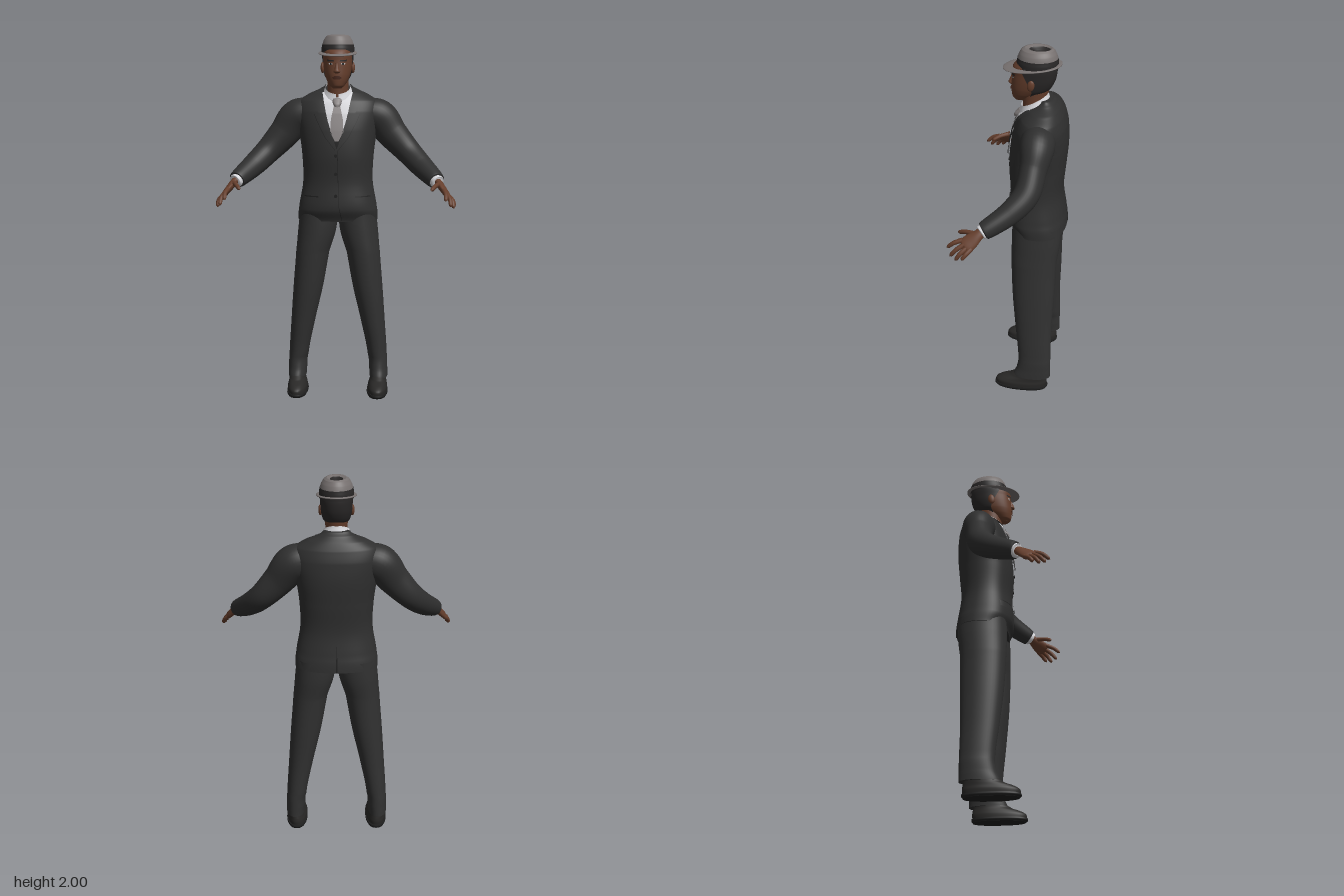
import * as THREE from 'three';
import { ParametricGeometry } from 'three/addons/geometries/ParametricGeometry.js';
import { mergeGeometries } from 'three/addons/utils/BufferGeometryUtils.js';

const mat = (name, color, side = THREE.FrontSide) => {
  const m = new THREE.MeshStandardMaterial({ color, side });
  m.name = name;
  return m;
};

// Rows are [y, centreX, halfWidth, frontZ, backZ, squareness]; y runs straight, the rest is smoothed.
function rowAt(rows, f) {
  const i = Math.max(0, Math.min(Math.floor(f), rows.length - 2)), t = f - i;
  const [a, b, c, d] = [i - 1, i, i + 1, i + 2].map(k => rows[Math.max(0, Math.min(rows.length - 1, k))]);
  return b.map((_, k) => k === 0 ? b[0] + (c[0] - b[0]) * t
    : b[k] + 0.5 * t * (c[k] - a[k] + t * (2 * a[k] - 5 * b[k] + 4 * c[k] - d[k] + t * (3 * (b[k] - c[k]) + d[k] - a[k]))));
}
function rowAtY(rows, y) {
  let i = 0;
  while (i < rows.length - 2 && rows[i + 1][0] < y) i++;
  return rowAt(rows, i + THREE.MathUtils.clamp((y - rows[i][0]) / (rows[i + 1][0] - rows[i][0]), 0, 1));
}

// Stack of horizontal rounded sections; arc(v) gives the angle left open at the front.
function loft(sections, { nu = 40, step = 5, bottom = false, top = false, arc = () => 0 } = {}) {
  const rows = sections.map(([y, x, r, zf, zb, p = 2.2]) => [y, x, r, zf, zb, p]);
  const skin = (list, n) => new ParametricGeometry((u, v, out) => {
    const [y, cx, rx, zf, zb, p] = rowAt(list, v * (list.length - 1));
    const open = arc(v), a = open + u * (2 * Math.PI - 2 * open);
    const s = Math.sin(a), c = Math.cos(a), e = 2 / p;
    out.set(cx + Math.max(rx, 0.001) * Math.sign(s) * Math.abs(s) ** e, y,
      (zf + zb) / 2 + (zf - zb) / 2 * Math.sign(c) * Math.abs(c) ** e);
  }, nu, n);
  const point = ([y, x, , zf, zb, p]) => [y, x, 0.001, (zf + zb) / 2 + 0.001, (zf + zb) / 2 - 0.001, p];
  const first = rows[0], last = rows[rows.length - 1];
  const parts = [skin(rows, (rows.length - 1) * step)];
  if (bottom) parts.push(skin([point(first), first], 1));
  if (top) parts.push(skin([last, point(last)], 1));
  return mergeGeometries(parts);
}

// Thin plate following a lofted body; shape rows are [y, x0, x1] from bottom to top.
function plate(body, shape, off = 0.006, dir = 1, nu = 10) {
  return new ParametricGeometry((u, v, out) => {
    const f = v * (shape.length - 1), i = Math.min(Math.floor(f), shape.length - 2);
    const [y, x0, x1] = shape[i].map((n, k) => THREE.MathUtils.lerp(n, shape[i + 1][k], f - i));
    const [, cx, rx, zf, zb, p] = rowAtY(body, y), x = x0 + (x1 - x0) * u;
    const k = Math.max(0, 1 - Math.abs((x - cx) / rx) ** p) ** (1 / p);
    out.set(x, y, (zf + zb) / 2 + dir * ((zf - zb) / 2 * k + off));
  }, nu, (shape.length - 1) * 6);
}

// Limb along points [x, y, z, radiusA, radiusB]; radiusA lies along ref x direction.
function limb(pts, ref = [0, 0, 1], nu = 24, nv = 24) {
  const curve = new THREE.CatmullRomCurve3(pts.map(p => new THREE.Vector3(p[0], p[1], p[2])));
  const r = new THREE.Vector3(...ref), rad = pts.map(p => [0, p[3], p[4] ?? p[3]]);
  return new ParametricGeometry((u, v, out) => {
    const t = curve.getTangent(v), b = r.clone().cross(t).normalize(), n = t.clone().cross(b);
    const [, ra, rb] = rowAt(rad, v * (pts.length - 1)), a = u * 2 * Math.PI;
    out.copy(curve.getPoint(v)).addScaledVector(b, Math.cos(a) * Math.max(ra, 0.001))
      .addScaledVector(n, Math.sin(a) * Math.max(rb, 0.001));
  }, nu, nv);
}

function mirrored(geo) {
  const g = mergeGeometries([geo]).scale(-1, 1, 1), idx = g.index.array;
  for (let i = 0; i < idx.length; i += 3) [idx[i], idx[i + 1]] = [idx[i + 1], idx[i]];
  return g;
}

export function createModel() {
  const model = new THREE.Group();
  model.name = 'suitedMan';
  const D = THREE.DoubleSide;
  const suit = mat('charcoal suit', 0x2f2f2f, D), trouser = mat('charcoal trousers', 0x313131);
  const black = mat('near black', 0x1f1f1f, D), shoe = mat('shoe leather', 0x292827);
  const shirt = mat('white shirt', 0xd6d6da, D), tie = mat('grey tie', 0x8a8585, D);
  const skin = mat('brown skin', 0x653e2c), lip = mat('dark skin', 0x45271d, D);
  const hair = mat('black hair', 0x292727, D), felt = mat('grey felt', 0x777170);
  const add = (name, geo, m) => {
    const mesh = new THREE.Mesh(geo, m);
    mesh.name = name;
    model.add(mesh);
  };
  const pair = (name, geo, m) => { add(name + 'Left', geo, m); add(name + 'Right', mirrored(geo), m); };

  // Jacket body
  const torso = [
    [0.985, 0, 0.222, 0.015, -0.275, 2.4], [1.05, 0, 0.217, 0.04, -0.268, 2.4],
    [1.2, 0, 0.193, 0.032, -0.25, 2.3], [1.35, 0, 0.198, 0.04, -0.262, 2.3],
    [1.48, 0, 0.215, 0.03, -0.272, 2.3], [1.58, 0, 0.23, 0.008, -0.266, 2.3],
    [1.64, 0, 0.22, -0.018, -0.25, 2.2], [1.68, 0, 0.16, -0.055, -0.23, 2.2],
    [1.71, 0, 0.095, -0.1, -0.205, 2.1], [1.73, 0, 0.07, -0.12, -0.185, 2]];
  add('jacket', loft(torso, { nu: 64, bottom: true, top: true }), suit);

  // Shirt front, tie, lapels and front edge
  add('shirtFront', plate(torso, [[1.4, -0.004, 0.004], [1.5, -0.042, 0.042], [1.6, -0.068, 0.068], [1.69, -0.085, 0.085]], 0.006, 1, 20), shirt);
  add('waistcoatTip', plate(torso, [[1.39, -0.004, 0.004], [1.43, -0.018, 0.018], [1.46, -0.03, 0.03]], 0.009), black);
  add('tie', plate(torso, [[1.43, -0.01, 0.01], [1.48, -0.036, 0.036], [1.55, -0.032, 0.032], [1.618, -0.017, 0.017]], 0.012), tie);
  add('tieKnot', loft([[1.612, 0, 0.016, 0.018, -0.04], [1.63, 0, 0.024, 0.015, -0.05], [1.655, 0, 0.027, -0.005, -0.06], [1.665, 0, 0.02, -0.02, -0.06]], { nu: 20, bottom: true, top: true }), tie);
  pair('lapel', plate(torso, [[1.38, -0.002, 0.006], [1.45, 0.022, 0.062], [1.54, 0.05, 0.108], [1.575, 0.058, 0.122], [1.577, 0.059, 0.1], [1.63, 0.07, 0.11], [1.69, 0.083, 0.108]], 0.012), suit);
  pair('lapelEdge', plate(torso, [[1.38, 0.006, 0.009], [1.45, 0.062, 0.065], [1.54, 0.108, 0.111], [1.575, 0.122, 0.125]], 0.009, 1, 2), black);
  add('frontEdge', plate(torso, [[0.99, 0.026, 0.029], [1.08, 0.008, 0.011], [1.38, 0.002, 0.005]], 0.004, 1, 2), black);
  for (const y of [1.13, 1.25, 1.35]) {
    const b = new THREE.CylinderGeometry(0.009, 0.009, 0.006, 16).rotateX(Math.PI / 2);
    add('button', b.translate(-0.006, y, rowAtY(torso, y)[3] + 0.005), black);
  }
  // Pocket flaps and back vent
  pair('pocketFlap', plate(torso, [[1.09, 0.1, 0.185], [1.122, 0.1, 0.182]], 0.008), suit);
  pair('pocketLine', plate(torso, [[1.122, 0.1, 0.182], [1.128, 0.1, 0.182]], 0.007), black);
  add('backVent', plate(torso, [[0.987, -0.004, 0.003], [1.13, -0.002, 0.002]], 0.004, -1, 2), black);

  // Sleeves, cuffs and hands
  pair('sleeve', limb([
    [0.14, 1.575, -0.13, 0.085, 0.085], [0.225, 1.55, -0.135, 0.098, 0.09], [0.3, 1.46, -0.125, 0.085, 0.072],
    [0.39, 1.362, -0.102, 0.07, 0.068], [0.46, 1.292, -0.03, 0.062, 0.06], [0.538, 1.224, 0.09, 0.046, 0.046],
    [0.54, 1.222, 0.094, 0.03, 0.03]], [0, 0, 1], 32, 48), suit);
  pair('shirtCuff', limb([[0.525, 1.236, 0.07, 0.036], [0.545, 1.216, 0.102, 0.037], [0.548, 1.214, 0.106, 0.02]]), shirt);
  pair('palm', limb([
    [0.532, 1.232, 0.085, 0.026, 0.021], [0.555, 1.208, 0.115, 0.029, 0.02], [0.575, 1.182, 0.148, 0.04, 0.018],
    [0.592, 1.16, 0.176, 0.038, 0.015], [0.597, 1.154, 0.184, 0.012, 0.006]], [-0.78, -0.62, 0]), skin);
  const fingers = {
    thumb: [[0.553, 1.214, 0.13], [0.528, 1.205, 0.185], [0.506, 1.187, 0.228]],
    indexFinger: [[0.574, 1.185, 0.19], [0.583, 1.168, 0.235], [0.582, 1.137, 0.272]],
    middleFinger: [[0.588, 1.17, 0.178], [0.606, 1.14, 0.222], [0.61, 1.105, 0.252]],
    ringFinger: [[0.593, 1.16, 0.16], [0.62, 1.128, 0.198], [0.627, 1.093, 0.222]],
    littleFinger: [[0.597, 1.152, 0.142], [0.624, 1.127, 0.17], [0.633, 1.1, 0.189]]
  };
  for (const [name, [a, b, c]] of Object.entries(fingers)) {
    const near = b.map((n, i) => n + (c[i] - n) * 0.75);
    pair(name, limb([[...a, 0.013], [...b, 0.0115], [...near, 0.0095], [...c, 0.001]], [-0.78, -0.62, 0], 12, 15), skin);
  }

  // Trousers
  pair('trouserLeg', loft([
    [0.085, 0.231, 0.051, -0.012, -0.222], [0.13, 0.229, 0.052, -0.03, -0.222], [0.2, 0.224, 0.054, -0.04, -0.222], [0.4, 0.198, 0.067, -0.02, -0.222],
    [0.6, 0.168, 0.083, 0, -0.23], [0.8, 0.142, 0.093, 0.01, -0.236], [0.92, 0.118, 0.106, 0.012, -0.252],
    [1.03, 0.108, 0.106, 0.01, -0.255]], { bottom: true }), trouser);

  // Shoes
  pair('shoe', loft([
    [0.016, 0.225, 0.055, 0.09, -0.2], [0.04, 0.226, 0.055, 0.088, -0.204], [0.058, 0.227, 0.05, 0.062, -0.203],
    [0.075, 0.229, 0.046, 0.015, -0.2], [0.11, 0.23, 0.043, -0.03, -0.2]], { top: true }), shoe);
  pair('sole', loft([[0, 0.225, 0.054, 0.085, -0.2, 2.4], [0.01, 0.225, 0.059, 0.095, -0.207, 2.4], [0.02, 0.225, 0.058, 0.094, -0.207, 2.4]],
    { bottom: true, top: true }), black);

  // Neck and shirt collar
  add('neck', loft([[1.6, 0, 0.06, -0.028, -0.15, 2], [1.7, 0, 0.057, -0.028, -0.152, 2], [1.8, 0, 0.06, -0.02, -0.17, 2]]), skin);
  const tilt = new THREE.Matrix4().makeShear(0, 0, 0, 0, 0, -0.53);
  add('shirtCollar', loft([[1.605, 0, 0.088, -0.005, -0.174, 2], [1.64, 0, 0.08, -0.012, -0.168, 2], [1.672, 0, 0.068, -0.018, -0.162, 2]],
    { arc: () => 0.1 }).applyMatrix4(tilt), shirt);

  // Head
  const head = [
    [1.712, 0, 0.022, 0.012, -0.04, 2], [1.725, 0, 0.038, 0.024, -0.07, 2], [1.75, 0, 0.055, 0.029, -0.12, 2.1],
    [1.78, 0, 0.068, 0.031, -0.165, 2.2], [1.82, 0, 0.076, 0.029, -0.188, 2.2], [1.86, 0, 0.079, 0.026, -0.198, 2.2],
    [1.9, 0, 0.08, 0.022, -0.2, 2.2], [1.94, 0, 0.07, -0.01, -0.19, 2.2]];
  add('head', loft(head, { bottom: true, top: true }), skin);
  const grown = head.slice(2).map(([y, x, r, f, b, p]) => [y, x, r + 0.005, f + 0.005, b - 0.006, p]);
  add('hair', loft(grown, { arc: v => 1.9 - 0.75 * Math.min(1, v * 1.4) }), hair);
  add('nose', loft([
    [1.793, 0, 0.011, 0.036, 0], [1.802, 0, 0.019, 0.046, 0], [1.815, 0, 0.014, 0.043, 0],
    [1.85, 0, 0.008, 0.03, 0]], { nu: 20, bottom: true, top: true }), skin);
  pair('ear', new THREE.SphereGeometry(1, 16, 12).scale(0.011, 0.03, 0.019).rotateX(-0.15).translate(0.083, 1.822, -0.08), skin);
  pair('eye', plate(head, [[1.839, 0.03, 0.036], [1.844, 0.021, 0.046], [1.849, 0.028, 0.04]], 0.002), shirt);
  pair('iris', plate(head, [[1.839, 0.029, 0.037], [1.849, 0.029, 0.037]], 0.003), black);
  pair('eyebrow', plate(head, [[1.857, 0.015, 0.05], [1.866, 0.018, 0.054]], 0.003), hair);
  add('mouth', plate(head, [[1.762, -0.016, 0.016], [1.77, -0.027, 0.027], [1.779, -0.013, 0.013]], 0.004), lip);

  // Hat: brim, band, crown and creased top
  add('hatBrim', loft([
    [1.886, 0, 0.082, 0.005, -0.2, 2], [1.891, 0, 0.103, 0.068, -0.227, 2.1], [1.897, 0, 0.103, 0.068, -0.227, 2.1], [1.9, 0, 0.082, 0.005, -0.2, 2]],
    { nu: 48, step: 3 }).applyMatrix4(new THREE.Matrix4().makeShear(0, 0, 0, 0, 0, -0.1)), felt);
  add('hatBand', loft([[1.895, 0, 0.09, 0.006, -0.212, 2], [1.925, 0, 0.09, 0.004, -0.212, 2], [1.948, 0, 0.086, -0.001, -0.209, 2]]), hair);
  add('hatCrown', loft([
    [1.942, 0, 0.086, -0.001, -0.209, 2], [1.968, 0, 0.079, -0.008, -0.202, 2], [1.99, 0, 0.066, -0.02, -0.19, 2],
    [1.999, 0, 0.052, -0.036, -0.178, 2], [1.992, 0, 0.034, -0.06, -0.168, 2]]), felt);
  add('hatCrease', loft([[1.992, 0, 0.034, -0.06, -0.168, 2], [1.978, 0, 0.018, -0.085, -0.15, 2], [1.975, 0, 0.001, -0.115, -0.117, 2]]), hair);
  return model;
}
